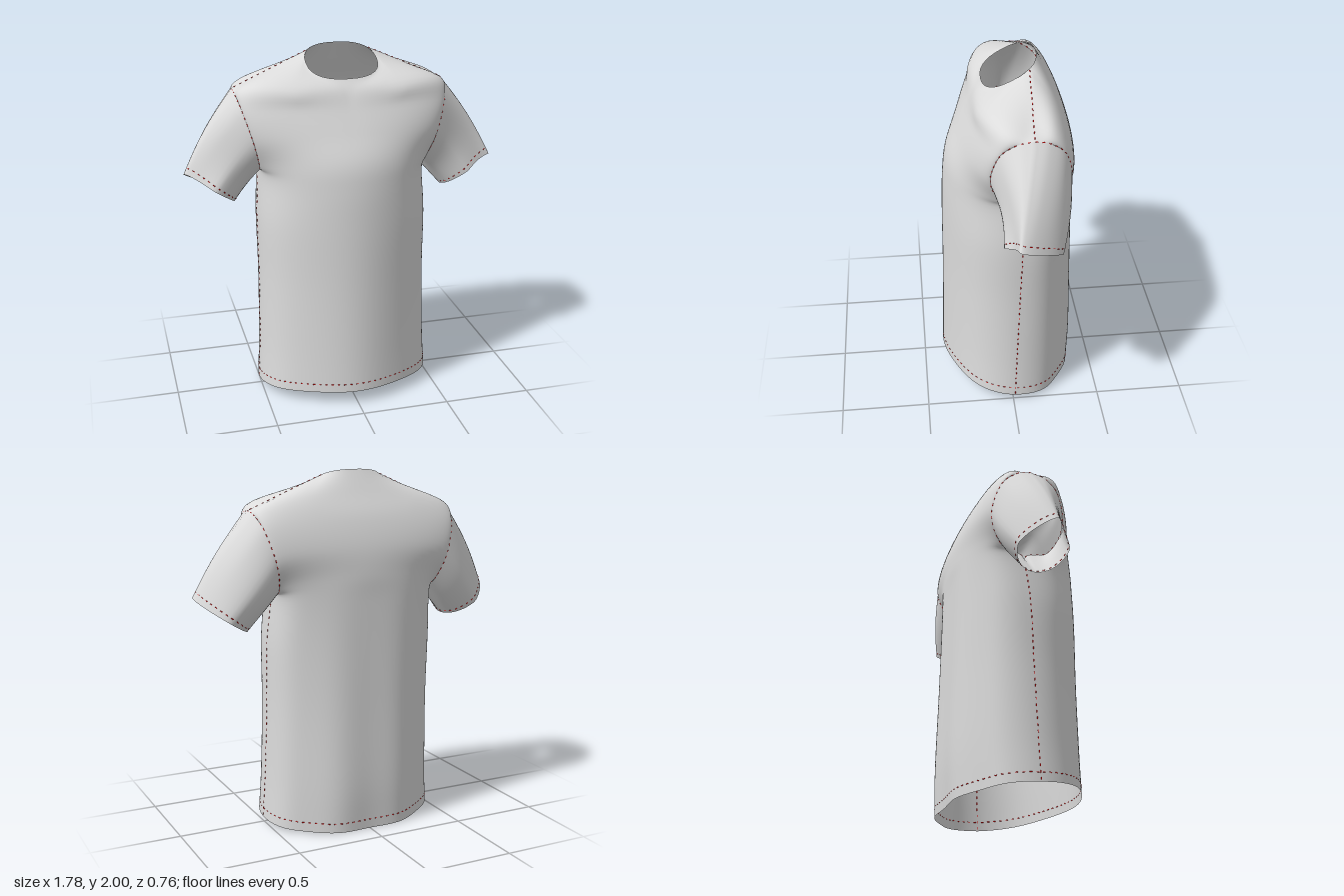
import * as THREE from 'three';
import { mergeVertices, mergeGeometries } from 'three/addons/utils/BufferGeometryUtils.js';

const HALF = 30;          // columns from centre to side of a panel
const SUB = 6;            // grid rows between two key rows
const NECK = 1 / 3;       // share of the top row that belongs to the neckline
const ARMPIT = 4, TOP = 9; // key row numbers
const { sin, cos, abs, sign, PI, max } = Math;

// Key rows below the armpit: side height, half width, side z
const sides = [[0.035, 0.51, -0.01], [0.3, 0.496, -0.02], [0.7, 0.486, -0.035], [1.05, 0.486, -0.05]];
// Armhole angles for the rows from armpit to shoulder
const armAngles = [-90, -50, -8, 35, 65];
// Centre line of each panel: height, z
const centres = {
  front: [[0.08, 0.377], [0.33, 0.37], [0.7, 0.362], [1.05, 0.358], [1.28, 0.35],
    [1.43, 0.33], [1.58, 0.266], [1.7, 0.212], [1.79, 0.172]],
  back: [[0, -0.37], [0.28, -0.38], [0.7, -0.372], [1.05, -0.365], [1.3, -0.36],
    [1.45, -0.358], [1.6, -0.342], [1.75, -0.295], [1.88, -0.225]],
};
// Fullness of the row curve (small is boxy) and lift of the shoulder
const fullness = {
  front: [1, 1, 0.95, 0.88, 0.8, 1.15, 1.2, 1.25, 1.4],
  back: [0.85, 0.85, 0.8, 0.72, 0.6, 1.1, 1.2, 1.2, 1.2],
};
const lift = { front: [0, 0, 0, 0, 0, 0, 0.005, 0.015, 0.053], back: [0, 0, 0, 0, 0, 0, 0, 0, 0] };
// Hanging folds: depth and waves across the panel
const folds = { front: [0.009, 8], back: [0.011, 12] };

// Side or armhole edge point of a key row
function edgeKey(row, dir) {
  if (row < ARMPIT) return { y: sides[row][0], x: sides[row][1], z: sides[row][2] };
  const a = armAngles[row - ARMPIT] * PI / 180;
  const y = 1.55 + 0.24 * sin(a);
  return { y, x: 0.47 + 0.13 * Math.pow(max(0, (y - 1.31) / 0.48), 1.2), z: -0.08 + dir * 0.21 * cos(a) };
}

// Neckline: a rounded ring on a plane sloping down to the front, angle 0 at the front
function neck(a) {
  const x = 0.2 * sign(sin(a)) * Math.pow(abs(sin(a)), 0.8);
  const z = -0.015 + 0.145 * sign(cos(a)) * Math.pow(abs(cos(a)), 0.8);
  return new THREE.Vector3(x, 2 - 0.5 * (z + 0.16), z);
}
const CORNER = 2.2;
const shoulderTip = new THREE.Vector3(0.6, 1.79, -0.085);

// Point of a key row, s from -1 (right) to 1 (left)
function keyPoint(side, row, s) {
  const m = abs(s);
  if (row === TOP) {
    const p = m <= NECK + 1e-6
      ? neck(side === 'front' ? m / NECK * CORNER : PI - m / NECK * (PI - CORNER))
      : neck(CORNER).lerp(shoulderTip, (m - NECK) / (1 - NECK));
    p.x *= s < 0 ? -1 : 1;
    return p;
  }
  const e = edgeKey(row, side === 'front' ? 1 : -1);
  const [yc, zc] = centres[side][row];
  const c = max(0, cos(m * PI / 2));
  const w = Math.pow(c, fullness[side][row]);
  // folds fade out at the chest and at the side seams
  const [depth, waves] = folds[side];
  const fold = row < 5 ? depth * c * cos(m * waves) * (1 - row / 5) : 0;
  return new THREE.Vector3(e.x * sin(s * PI / 2),
    e.y + (yc - e.y) * c + lift[side][row] * sin(PI * m), e.z + (zc - e.z) * w + fold);
}

// Smooth interpolation through the key rows
function panelPoint(side, s, v) {
  const i = Math.min(TOP - 1, Math.floor(v)), t = v - i;
  const p1 = keyPoint(side, i, s), p2 = keyPoint(side, i + 1, s);
  const p0 = i > 0 ? keyPoint(side, i - 1, s) : p1.clone().multiplyScalar(2).sub(p2);
  const p3 = i + 1 < TOP ? keyPoint(side, i + 2, s) : p2.clone().multiplyScalar(2).sub(p1);
  const f = (a, b, c, d) => b + 0.5 * t * (c - a + t * (2 * a - 5 * b + 4 * c - d + t * (3 * (b - c) + d - a)));
  return new THREE.Vector3(f(p0.x, p1.x, p2.x, p3.x), f(p0.y, p1.y, p2.y, p3.y), f(p0.z, p1.z, p2.z, p3.z));
}
function body(side, s, v) {
  const p = panelPoint(side, s, v);
  if (abs(s) > 0.999 && v < ARMPIT) // both panels meet on the side seam
    p.z = (p.z + panelPoint(side === 'front' ? 'back' : 'front', s, v).z) / 2;
  return p;
}

// Armhole ring, u 0..1: up the front edge and down the back edge
function armhole(u) {
  const k = u <= 0.5 ? u * 2 : 2 - u * 2;
  return body(u <= 0.5 ? 'front' : 'back', 1, ARMPIT + k * (TOP - ARMPIT));
}
// Sleeve from armhole (t = 0) to pinched cuff (t = 1)
function sleeve(dir, u, t) {
  const p = armhole(u);
  const a = Math.atan2((p.y - 1.55) / 0.24, (p.z + 0.08) / 0.21);
  const up = max(0, sin(a)), front = max(0, cos(a)), back = max(0, -cos(a));
  const tip = dir > 0 ? 0.08 : 0.02;
  const z = -0.07 + tip * up * up + 0.15 * front * (1 - 0.65 * up) - 0.15 * back * (1 - 0.45 * up);
  const cuff = new THREE.Vector3(0.75 + 0.137 * sin(a) - 0.012 * cos(a), 1.24 + 0.09 * sin(a) + 0.02 * cos(a), z);
  p.lerp(cuff, t);
  // rounded over the shoulder and behind, slightly hollow in front
  const b = sin(PI * t);
  p.x += 0.016 * b * up;
  p.y += 0.01 * b * up;
  p.z -= b * (0.014 * back + 0.022 * front);
  p.x *= dir;
  return p;
}

// Surface grid from a point function
function grid(nu, nv, fn, flip) {
  const pos = [], idx = [], w = nu + 1;
  for (let j = 0; j <= nv; j++) for (let i = 0; i <= nu; i++) pos.push(...fn(i / nu, j / nv).toArray());
  for (let j = 0; j < nv; j++) for (let i = 0; i < nu; i++) {
    const a = j * w + i, b = a + 1, d = a + w, c = d + 1;
    idx.push(...(flip ? [a, c, b, a, d, c] : [a, b, c, a, c, d]));
  }
  const g = new THREE.BufferGeometry();
  g.setAttribute('position', new THREE.Float32BufferAttribute(pos, 3));
  g.setIndex(idx);
  return g;
}
function smooth(g) {
  const m = mergeVertices(g, 1e-5);
  m.computeVertexNormals();
  return m;
}

// Row of short thread dashes along a path function
function stitches(fn, n = 60) {
  const curve = new THREE.CatmullRomCurve3(Array.from({ length: n + 1 }, (_, i) => fn(i / n)));
  const len = curve.getLength(), dashes = [];
  for (let d = 0.01; d + 0.014 < len; d += 0.036) {
    const line = new THREE.LineCurve3(curve.getPointAt(d / len), curve.getPointAt((d + 0.014) / len));
    dashes.push(new THREE.TubeGeometry(line, 1, 0.0025, 4));
  }
  return mergeGeometries(dashes);
}

export function createModel() {
  const cloth = new THREE.MeshStandardMaterial({ color: 0xdcdcdc, side: THREE.DoubleSide });
  cloth.name = 'light grey cloth';
  const thread = new THREE.MeshStandardMaterial({ color: 0xf01010 });
  thread.name = 'red thread';
  const model = new THREE.Group();
  model.name = 'tShirt';
  const add = (name, geometry, material) => {
    const mesh = new THREE.Mesh(geometry, material);
    mesh.name = name;
    model.add(mesh);
  };

  // Body: front and back panels joined at the side and shoulder seams
  const panels = ['front', 'back'].map((side) =>
    grid(HALF * 2, TOP * SUB, (u, v) => body(side, u * 2 - 1, v * TOP), side === 'back'));
  add('body', smooth(mergeGeometries(panels)), cloth);

  for (const dir of [1, -1]) {
    const name = dir > 0 ? 'left' : 'right';
    const mirror = (p) => { p.x *= dir; return p; };
    add(name + 'Sleeve', smooth(grid((TOP - ARMPIT) * SUB * 2, 16, (u, t) => sleeve(dir, u, t), dir > 0)), cloth);
    add(name + 'CuffStitching', stitches((u) => sleeve(dir, u, 0.93)), thread);
    add(name + 'ArmholeStitching', stitches((u) => mirror(armhole(u))), thread);
    add(name + 'SideStitching', stitches((u) => mirror(body('front', 1, u * ARMPIT))), thread);
    add(name + 'ShoulderStitching', stitches((u) => mirror(body('front', NECK + 0.001 + u * (0.999 - NECK), TOP))), thread);
  }

  // Hem stitching on both panels
  for (const side of ['front', 'back'])
    add(side + 'HemStitching', stitches((u) => body(side, u * 2 - 1, 0.2)), thread);

  return model;
}
